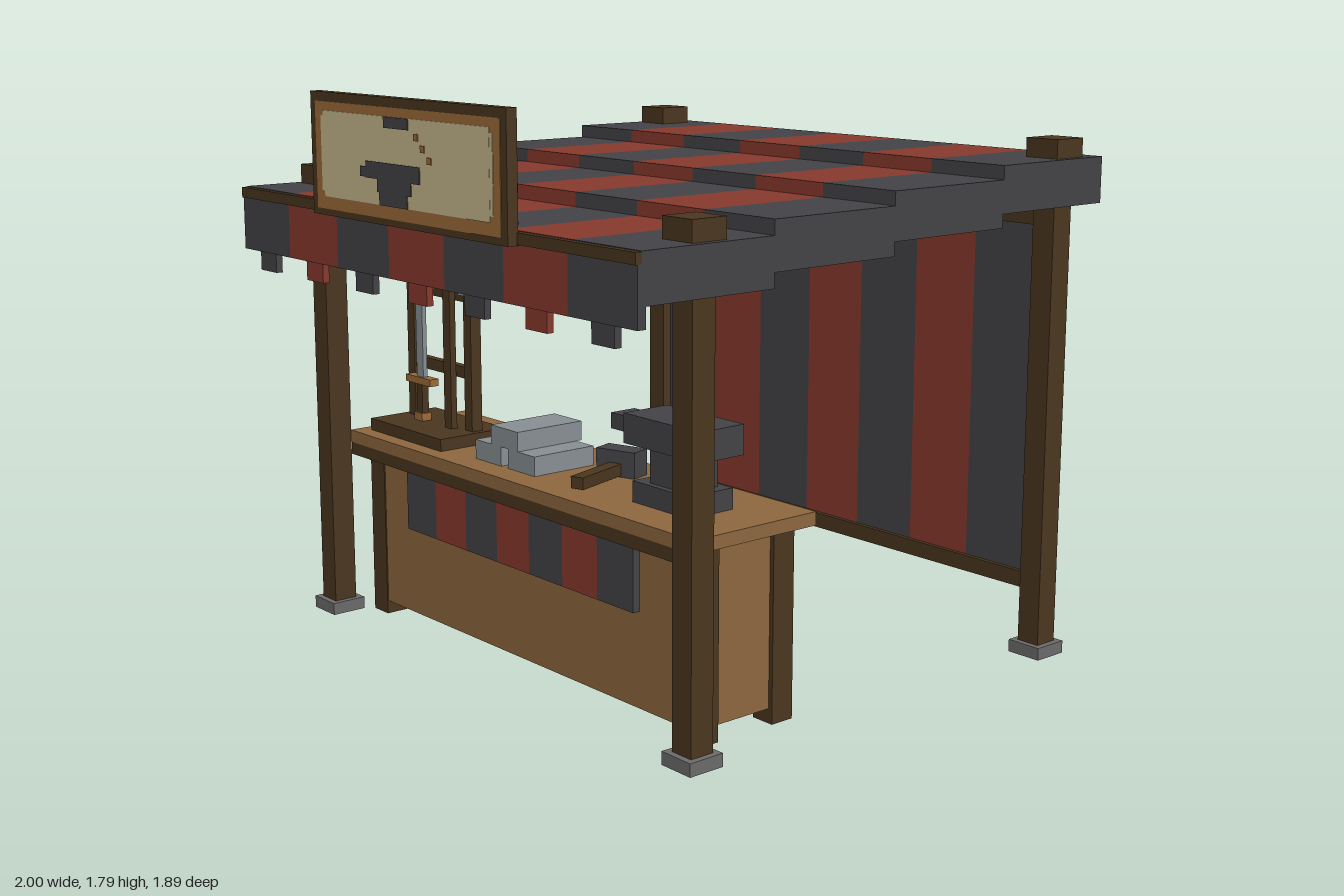
import * as THREE from 'three';

const mat = (name, hex) => {
  const m = new THREE.MeshStandardMaterial({ color: hex });
  m.name = name;
  return m;
};

export function createModel() {
  const dark = mat('charcoal', 0x434347), red = mat('red cloth', 0x87392d);
  const darkWood = mat('dark wood', 0x4a361f), wood = mat('light wood', 0x8d673f);
  const copper = mat('copper', 0x9c6a3a), steel = mat('steel', 0x888f94);
  const stone = mat('stone', 0x6c6a6a), cream = mat('cream', 0xc6b78d);

  const root = new THREE.Group();
  root.name = 'marketStall';
  const group = (name, parent = root) => {
    const g = new THREE.Group();
    g.name = name;
    parent.add(g);
    return g;
  };
  // Box given by its minimum and maximum on each axis
  const box = (parent, name, m, x0, x1, y0, y1, z0, z1) => {
    const mesh = new THREE.Mesh(new THREE.BoxGeometry(x1 - x0, y1 - y0, z1 - z0), m);
    mesh.position.set((x0 + x1) / 2, (y0 + y1) / 2, (z0 + z1) / 2);
    mesh.name = name;
    parent.add(mesh);
    return mesh;
  };
  // Seven alternating cloth stripes across a width
  const stripes = (parent, name, half, y0, y1, z0, z1) => {
    const w = 2 * half / 7;
    for (let i = 0; i < 7; i++) {
      const x = -half + i * w;
      box(parent, name, i % 2 ? red : dark, x, x + w, y0, y1, z0, z1);
    }
  };

  // Corner posts with stone feet and caps above the roof
  const frame = group('frame');
  for (const [z, top] of [[0.643, 1.52], [-0.818, 1.645]]) {
    for (const s of [-1, 1]) {
      const x = s * 0.917;
      box(frame, 'foot', stone, x - 0.06, x + 0.06, 0, 0.04, z - 0.06, z + 0.06);
      box(frame, 'post', darkWood, x - 0.04, x + 0.04, 0.04, top - 0.07, z - 0.04, z + 0.04);
      box(frame, 'postCap', darkWood, x - 0.06, x + 0.06, top - 0.065, top, z - 0.06, z + 0.06);
    }
  }

  // Stepped striped roof with side skirts
  const roof = group('roof');
  const edges = [0.89, 0.432, -0.029, -0.489, -0.945];
  [1.458, 1.502, 1.544, 1.586].forEach((top, i) => {
    const zf = edges[i], zb = edges[i + 1];
    stripes(roof, 'roofPanel', 1, top - 0.045, top, zb, zf);
    for (const s of [-1, 1]) {
      const a = s * 0.97, b = s;
      box(roof, 'sideSkirt', dark, Math.min(a, b), Math.max(a, b), top - 0.143, top - 0.045, zb, zf);
    }
  });

  // Front valance with one square tab per stripe, and its rail
  stripes(roof, 'valance', 1, 1.256, 1.425, 0.877, 0.905);
  for (let i = 0; i < 7; i++) {
    const x = (i - 3) * 2 / 7;
    box(roof, 'valanceTab', i % 2 ? red : dark, x - 0.048, x + 0.048, 1.196, 1.256, 0.88, 0.902);
  }
  box(roof, 'valanceRail', darkWood, -1, 1, 1.423, 1.456, 0.89, 0.91);

  // Striped back wall between two rails
  const wall = group('backWall');
  stripes(wall, 'wallCloth', 0.872, 0.26, 1.38, -0.828, -0.808);
  box(wall, 'bottomRail', darkWood, -0.88, 0.88, 0.21, 0.262, -0.843, -0.793);
  box(wall, 'topRail', darkWood, -0.88, 0.88, 1.375, 1.425, -0.843, -0.793);

  // Hanging sign: board, frame layers, anvil and hammer picture
  const sign = group('sign');
  box(sign, 'signBoard', darkWood, -0.5, 0.5, 1.42, 1.79, 0.905, 0.94);
  box(sign, 'signBorder', copper, -0.472, 0.472, 1.44, 1.762, 0.938, 0.942);
  box(sign, 'signFace', cream, -0.425, 0.425, 1.478, 1.735, 0.94, 0.944);
  box(sign, 'signFaceSides', cream, -0.44, 0.44, 1.495, 1.72, 0.94, 0.9435);
  const icon = (name, m, x0, x1, y0, y1) => box(sign, name, m, x0, x1, y0, y1, 0.942, 0.947);
  icon('anvilPictureTop', dark, -0.19, 0.09, 1.553, 1.602);
  icon('anvilPictureHorn', dark, -0.22, -0.19, 1.555, 1.585);
  icon('anvilPictureNeck', dark, -0.13, 0.045, 1.515, 1.553);
  icon('anvilPictureBase', dark, -0.12, 0.025, 1.478, 1.515);
  icon('hammerPictureHead', dark, -0.09, 0.035, 1.703, 1.735);
  for (let i = 0; i < 3; i++) {
    const x = 0.075 + i * 0.032, y = 1.685 - i * 0.031;
    icon('hammerPictureHandle', copper, x - 0.01, x + 0.01, y - 0.01, y + 0.01);
  }
  for (const x of [-0.357, 0.353]) {
    box(sign, 'signBracket', dark, x - 0.018, x + 0.018, 1.456, 1.585, 0.81, 0.906);
  }

  // Workbench, open at the back
  const bench = group('bench');
  box(bench, 'benchTop', wood, -0.877, 0.877, 0.585, 0.626, 0.14, 0.604);
  box(bench, 'apron', darkWood, -0.877, 0.877, 0.543, 0.585, 0.58, 0.602);
  for (const s of [-1, 1]) {
    const x = s * 0.795;
    for (const z of [0.514, 0.225]) {
      box(bench, 'benchLeg', darkWood, x - 0.04, x + 0.04, 0, 0.585, z - 0.04, z + 0.04);
    }
    box(bench, 'sidePanel', wood, x - 0.025, x + 0.025, 0.045, 0.585, 0.265, 0.474);
  }
  box(bench, 'frontPanel', wood, -0.757, 0.757, 0.045, 0.585, 0.515, 0.55);
  box(bench, 'shelf', wood, -0.77, 0.77, 0.045, 0.08, 0.2, 0.515);
  stripes(bench, 'benchCloth', 0.582, 0.34, 0.545, 0.552, 0.576);

  // Weapon rack
  const rack = group('weaponRack');
  box(rack, 'rackBase', darkWood, -0.835, -0.42, 0.626, 0.666, 0.29, 0.55);
  for (const x of [-0.792, -0.463]) {
    box(rack, 'rackPost', darkWood, x - 0.02, x + 0.02, 0.666, 1.165, 0.37, 0.41);
  }
  for (const y of [0.855, 1.108]) {
    box(rack, 'rackBar', darkWood, -0.772, -0.483, y - 0.019, y + 0.019, 0.376, 0.404);
  }

  // Sword standing point up
  const sword = group('sword', rack);
  box(sword, 'pommel', copper, -0.727, -0.68, 0.666, 0.692, 0.41, 0.447);
  box(sword, 'grip', darkWood, -0.718, -0.687, 0.692, 0.79, 0.415, 0.44);
  box(sword, 'guard', copper, -0.775, -0.632, 0.79, 0.814, 0.411, 0.445);
  box(sword, 'blade', steel, -0.722, -0.684, 0.814, 1.25, 0.42, 0.436);
  box(sword, 'bladeTip', steel, -0.715, -0.691, 1.25, 1.29, 0.422, 0.434);

  // Double-headed axe
  const axe = group('axe', rack);
  box(axe, 'axeHandle', darkWood, -0.56, -0.52, 0.666, 1.16, 0.416, 0.438);
  box(axe, 'axeHead', steel, -0.63, -0.455, 1.148, 1.2, 0.41, 0.447);
  for (const s of [-1, 1]) {
    const x = -0.541 + s * 0.095;
    box(axe, 'axeEdge', steel, x - 0.017, x + 0.017, 1.12, 1.165, 0.412, 0.445);
    const t = -0.541 + s * 0.08;
    box(axe, 'axeHorn', steel, t - 0.015, t + 0.015, 1.165, 1.21, 0.412, 0.445);
  }

  // Steel armour piece with a notch in the front
  const armour = group('armour');
  box(armour, 'armourTop', steel, -0.19, -0.05, 0.688, 0.75, 0.265, 0.515);
  for (const s of [-1, 1]) {
    const a = -0.12 + s * 0.018, b = -0.12 + s * 0.155;
    box(armour, 'armourSide', steel, Math.min(a, b), Math.max(a, b), 0.626, 0.688, 0.285, 0.515);
  }
  box(armour, 'armourBack', steel, -0.14, -0.1, 0.626, 0.688, 0.285, 0.32);
  box(bench, 'ironBar', dark, -0.335, -0.12, 0.626, 0.65, 0.187, 0.245);

  // Hammer lying at a slight angle
  const hammer = group('hammer');
  hammer.position.set(0.18, 0.626, 0.29);
  hammer.rotation.y = 0.3;
  box(hammer, 'hammerHead', dark, -0.07, 0.07, 0, 0.082, -0.035, 0.035);
  box(hammer, 'hammerHandle', darkWood, -0.022, 0.022, 0.005, 0.042, 0.035, 0.24);

  // Anvil
  const anvil = group('anvil');
  box(anvil, 'anvilBase', dark, 0.455, 0.705, 0.626, 0.69, 0.306, 0.473);
  box(anvil, 'anvilNeck', dark, 0.51, 0.665, 0.69, 0.795, 0.33, 0.453);
  box(anvil, 'anvilTop', dark, 0.415, 0.75, 0.795, 0.885, 0.306, 0.473);
  box(anvil, 'anvilHorn', dark, 0.31, 0.415, 0.815, 0.863, 0.345, 0.435);

  return root;
}
